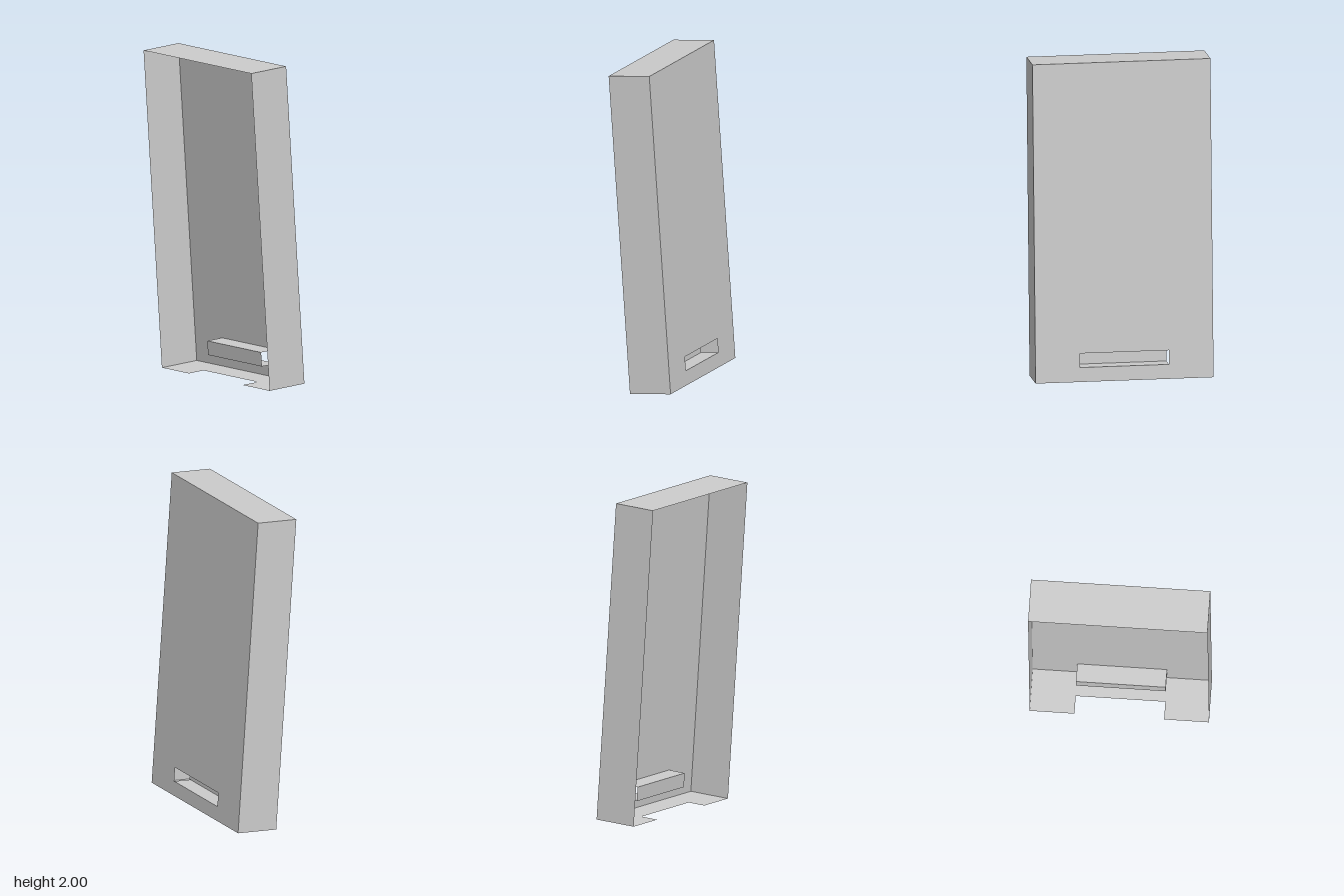
import * as THREE from 'three';

const W = 1.1, H = 1.986, D = 0.267;      // tray width, height, depth
const TILT = Math.atan2(0.14, 1.981);     // forward lean
const SLOT = 0.275;                       // half width of slot, loop and notch
const LOW = 0.09, HIGH = 0.178;           // slot bottom and top
const LOOP = 0.113;                       // depth of loop and notch

const material = new THREE.MeshStandardMaterial({
  color: 0xcccccc, flatShading: true, side: THREE.DoubleSide,
});

// Thin flat sheet from 2D corners, with an optional hole
function sheet(name, corners, hole) {
  const toPoints = (list) => list.map(([x, y]) => new THREE.Vector2(x, y));
  const shape = new THREE.Shape(toPoints(corners));
  if (hole) shape.holes.push(new THREE.Path(toPoints(hole)));
  const mesh = new THREE.Mesh(new THREE.ShapeGeometry(shape), material);
  mesh.name = name;
  return mesh;
}

const rect = (x0, y0, x1, y1) => [[x0, y0], [x1, y0], [x1, y1], [x0, y1]];

// Sheet lying flat: its 2D y becomes depth towards the front
function flatSheet(name, corners, height) {
  const mesh = sheet(name, corners);
  mesh.geometry.rotateX(Math.PI / 2);
  mesh.position.y = height;
  return mesh;
}

export function createModel() {
  const model = new THREE.Group();
  model.name = 'tiltedTray';
  const w = W / 2;

  // Back panel with the slot
  model.add(sheet('backPanel', rect(-w, 0, w, H), rect(-SLOT, LOW, SLOT, HIGH).reverse()));

  // Side walls
  for (const [name, s] of [['leftWall', 1], ['rightWall', -1]]) {
    const wall = sheet(name, rect(0, 0, D, H));
    wall.geometry.rotateY(-Math.PI / 2);
    wall.position.x = s * w;
    if (s > 0) {
      // turn the left wall to face outwards
      wall.rotation.y = Math.PI;
      wall.position.z = D;
    }
    model.add(wall);
  }

  // Top wall, and bottom wall notched at its front edge
  model.add(flatSheet('topWall', rect(-w, 0, w, D), H));
  const n = D - LOOP;
  model.add(flatSheet('bottomWall', [
    [-w, 0], [w, 0], [w, D], [SLOT, D], [SLOT, n], [-SLOT, n], [-SLOT, D], [-w, D],
  ], 0));

  // Loop in front of the slot, open at both ends
  const loop = new THREE.Group();
  loop.name = 'slotLoop';
  loop.add(flatSheet('loopTop', rect(-SLOT, 0, SLOT, LOOP), HIGH));
  loop.add(flatSheet('loopBottom', rect(-SLOT, 0, SLOT, LOOP), LOW));
  const front = sheet('loopFront', rect(-SLOT, LOW, SLOT, HIGH));
  front.position.z = LOOP;
  loop.add(front);
  model.add(loop);

  // Lean forward, standing on the lower front edge
  model.rotation.x = TILT;
  model.position.set(0, D * Math.sin(TILT), -(H * Math.sin(TILT) + D * Math.cos(TILT)) / 2);

  const root = new THREE.Group();
  root.name = 'tray';
  root.add(model);
  return root;
}
